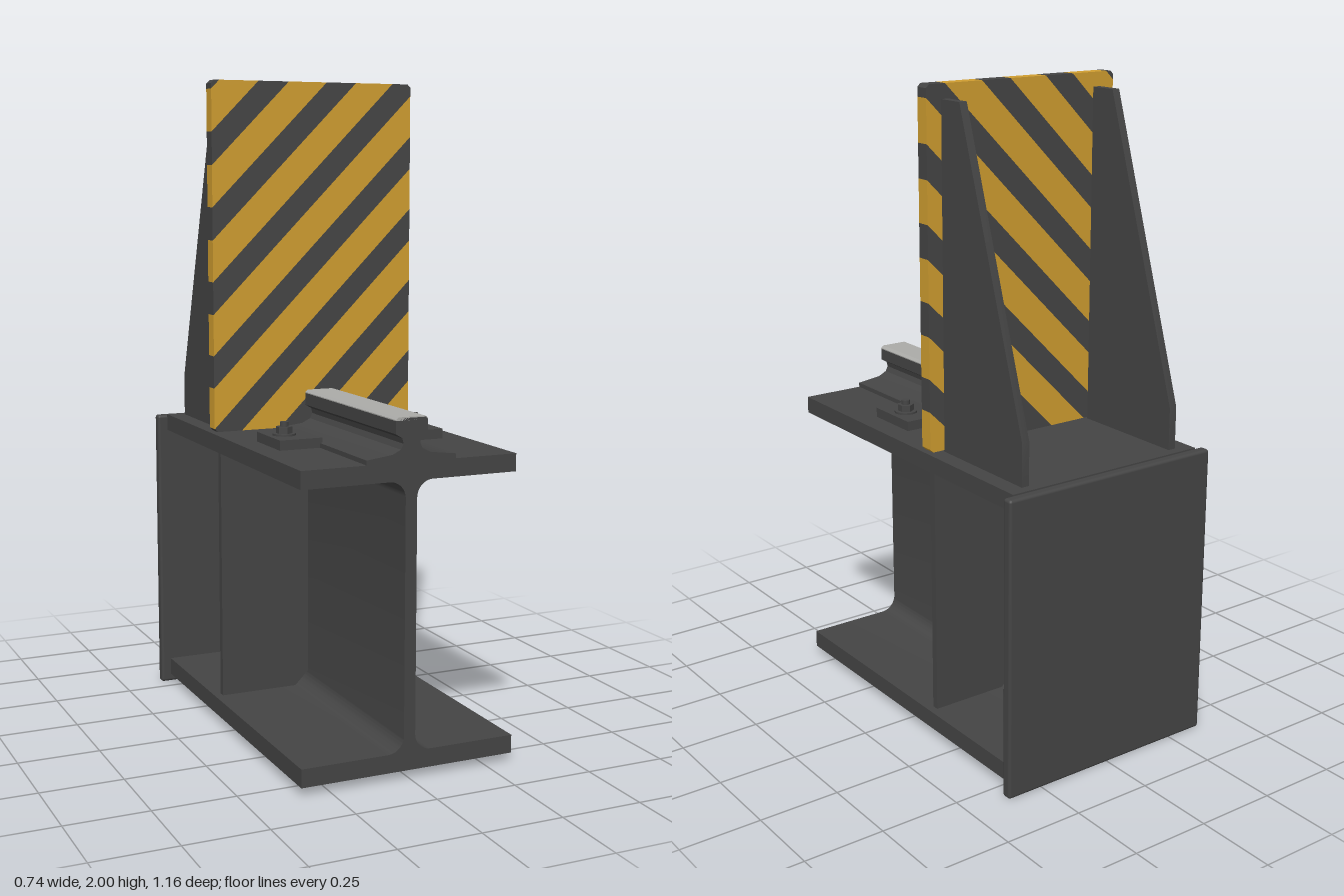
import * as THREE from 'three';
import { toCreasedNormals } from 'three/addons/utils/BufferGeometryUtils.js';
import { RoundedBoxGeometry } from 'three/addons/geometries/RoundedBoxGeometry.js';

const steel = new THREE.MeshStandardMaterial({ color: 0x454545 });
steel.name = 'dark steel';
const yellow = new THREE.MeshStandardMaterial({ color: 0xd09e30 });
yellow.name = 'warning yellow';
const worn = new THREE.MeshStandardMaterial({ color: 0xacaca9 });
worn.name = 'bare rail steel';

export function createModel() {
  const model = new THREE.Group();
  model.name = 'railEndStop';

  const add = (name, geo, mat, x = 0, y = 0, z = 0, parent = model) => {
    const mesh = new THREE.Mesh(geo, mat);
    mesh.name = name;
    mesh.position.set(x, y, z);
    parent.add(mesh);
    return mesh;
  };
  const polygon = (pts) => new THREE.Shape(pts.map(([x, y]) => new THREE.Vector2(x, y)));
  const extrude = (shape, depth) => toCreasedNormals(
    new THREE.ExtrudeGeometry(shape, { depth, bevelEnabled: false, curveSegments: 8 }), 0.6);

  // I-beam with root fillets between web and flanges
  const w = 0.338, t = 0.018, y0 = 0.025, y1 = 0.08, y2 = 0.872, y3 = 0.925, r = 0.05;
  const beam = new THREE.Shape();
  beam.moveTo(-w, y0);
  beam.lineTo(w, y0);
  beam.lineTo(w, y1);
  beam.lineTo(t + r, y1);
  beam.absarc(t + r, y1 + r, r, -Math.PI / 2, -Math.PI, true);
  beam.lineTo(t, y2 - r);
  beam.absarc(t + r, y2 - r, r, Math.PI, Math.PI / 2, true);
  beam.lineTo(w, y2);
  beam.lineTo(w, y3);
  beam.lineTo(-w, y3);
  beam.lineTo(-w, y2);
  beam.lineTo(-t - r, y2);
  beam.absarc(-t - r, y2 - r, r, Math.PI / 2, 0, true);
  beam.lineTo(-t, y1 + r);
  beam.absarc(-t - r, y1 + r, r, 0, -Math.PI / 2, true);
  beam.lineTo(-w, y1);
  add('beam', extrude(beam, 1.13), steel, 0, 0, -0.55);

  // Plate closing the back end of the beam
  add('endPlate', new RoundedBoxGeometry(0.74, 0.922, 0.034, 2, 0.009), steel, 0, 0.461, -0.563);

  // Rail: wide foot, narrow neck, chamfered head with a bare running surface
  const half = [[0.14, 0.925], [0.14, 0.939], [0.06, 0.949], [0.034, 0.962], [0.026, 0.978],
    [0.03, 0.994], [0.05, 1.006], [0.05, 1.043], [0.044, 1.05]];
  const mirrored = half.map(([x, y]) => [-x, y]).reverse();
  add('rail', extrude(polygon([...half, ...mirrored]), 0.63), steel, 0, 0, -0.05);
  const cap = [[-0.05, 1.043], [0.05, 1.043], [0.05, 1.046], [0.042, 1.053], [-0.042, 1.053], [-0.05, 1.046]];
  add('runningSurface', extrude(polygon(cap), 0.63), worn, 0, 0, -0.05);

  for (const [side, s] of [['left', 1], ['right', -1]]) {
    // Web stiffener with clipped inner corners
    const c = 0.045;
    const stiffener = polygon([[t, y1 + c], [t + c, y1], [0.313, y1], [0.313, y2], [t + c, y2], [t, y2 - c]]
      .map(([x, y]) => [x * s, y]));
    add(side + 'Stiffener', extrude(stiffener, 0.022), steel, 0, 0, -0.127);

    // Sloping rib behind the stop plate
    const rib = polygon([[0.138, 0.925], [0.52, 0.925], [0.52, 1.055], [0.228, 1.957], [0.138, 1.957]]);
    const ribGeo = extrude(rib, 0.025);
    ribGeo.rotateY(Math.PI / 2);
    add(side + 'Rib', ribGeo, steel, s * 0.2725 - 0.0125);

    // Rail clamp with washer, hex nut and stud
    const clamp = new THREE.Group();
    clamp.name = side + 'RailClamp';
    clamp.position.set(s * 0.2, 0.925, 0.175);
    model.add(clamp);
    add('clampPlate', new THREE.BoxGeometry(0.135, 0.03, 0.18), steel, 0, 0.015, 0, clamp);
    const bolt = s * 0.016;
    add('washer', new THREE.CylinderGeometry(0.035, 0.035, 0.006, 24), steel, bolt, 0.033, 0, clamp);
    add('nut', toCreasedNormals(new THREE.CylinderGeometry(0.025, 0.025, 0.02, 6), 0.5), steel, bolt, 0.046, 0, clamp);
    add('stud', new THREE.CylinderGeometry(0.013, 0.013, 0.014, 16), steel, bolt, 0.063, 0, clamp);
  }

  // Stop plate made of diagonal bands, each clipped to the plate's outline
  const stop = new THREE.Group();
  stop.name = 'stopPlate';
  model.add(stop);
  const X = 0.335, B = 0.93, T = 2, period = 0.227, yellowWidth = 0.127;
  // keeps the part of a polygon where sign * (x - y) >= sign * limit
  const clip = (pts, limit, sign) => {
    const out = [];
    const d = ([x, y]) => sign * (x - y - limit);
    pts.forEach((p, i) => {
      const q = pts[(i + 1) % pts.length];
      const a = d(p), b = d(q);
      if (a >= 0) out.push(p);
      if (a * b < 0) out.push([p[0] + (q[0] - p[0]) * a / (a - b), p[1] + (q[1] - p[1]) * a / (a - b)]);
    });
    return out;
  };
  const e = 0.01;
  const outline = [[-X + e, B], [X - e, B], [X, B + e], [X, T - e], [X - e, T], [-X + e, T], [-X, T - e], [-X, B + e]];
  const band = (name, from, to, mat) => {
    const pts = clip(clip(outline, from, 1), to, -1);
    if (pts.length > 2) add(name, extrude(polygon(pts), 0.043), mat, 0, 0, -0.14);
  };
  for (let k = -2; k < 8; k++) {
    const start = -2.082 + k * period;
    band('yellowStripe', start, start + yellowWidth, yellow);
    band('darkStripe', start + yellowWidth, start + period, steel);
  }
  return model;
}
